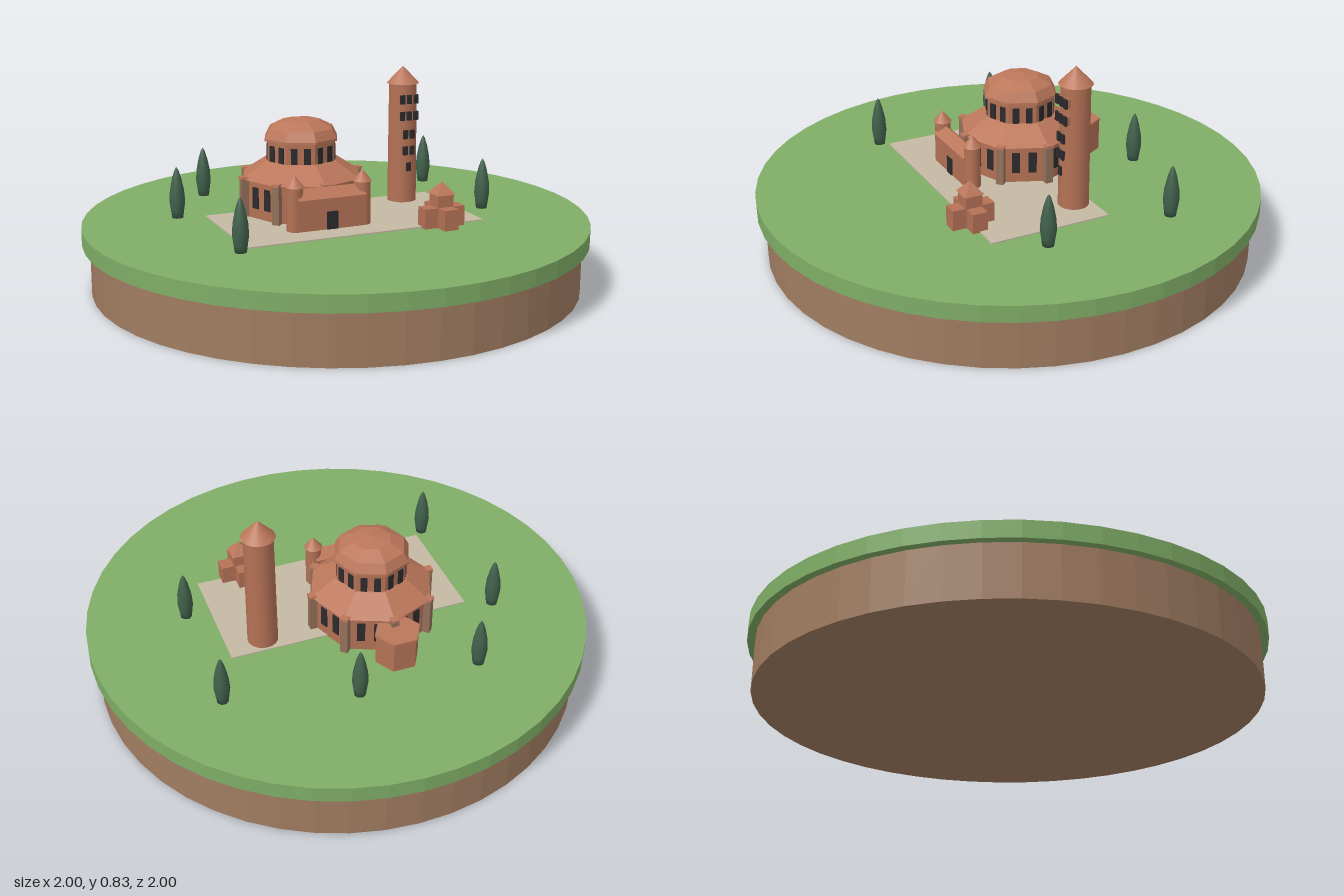
import * as THREE from 'three';

const mat = (name, color) => {
  const m = new THREE.MeshStandardMaterial({ color });
  m.name = name;
  return m;
};

// Facetted copy of a geometry
const flat = (g) => {
  const f = g.index ? g.toNonIndexed() : g;
  f.computeVertexNormals();
  return f;
};

export function createModel() {
  const grass = mat('grass green', 0x7fad66);
  const earth = mat('earth brown', 0xa07c61);
  const paving = mat('pale paving', 0xc4b8a3);
  const brick = mat('terracotta brick', 0xb47155);
  const tile = mat('roof terracotta', 0xbb775a);
  const stone = mat('buttress brown', 0x93705a);
  const dark = mat('window dark', 0x2b2a2d);
  const leaf = mat('cypress green', 0x41604b);

  const model = new THREE.Group();
  model.name = 'basilicaIsland';
  const G = 0.265; // ground level

  const add = (parent, name, geo, material, x = 0, y = 0, z = 0) => {
    const m = new THREE.Mesh(geo, material);
    m.name = name;
    m.position.set(x, y, z);
    parent.add(m);
    return m;
  };
  const group = (parent, name, x = 0, z = 0, turn = 0) => {
    const g = new THREE.Group();
    g.name = name;
    g.position.set(x, 0, z);
    g.rotation.y = turn;
    parent.add(g);
    return g;
  };
  // Prism or frustum standing from y0 to y1
  const drum = (parent, name, rTop, rBottom, y0, y1, sides, material, smooth = false) => {
    const g = new THREE.CylinderGeometry(rTop, rBottom, y1 - y0, sides);
    return add(parent, name, smooth ? g : flat(g), material, 0, (y0 + y1) / 2, 0);
  };
  const block = (parent, name, w, d, y0, y1, material, x = 0, z = 0) =>
    add(parent, name, new THREE.BoxGeometry(w, y1 - y0, d), material, x, (y0 + y1) / 2, z);

  // Island
  drum(model, 'earthBase', 0.97, 0.97, 0, 0.2, 48, earth);
  drum(model, 'grassDisc', 1, 1, 0.2, G, 48, grass);

  // Everything built sits on axes turned 20 degrees
  const site = group(model, 'site', -0.063, -0.136, -THREE.MathUtils.degToRad(20));
  block(site, 'plaza', 0.98, 0.49, G, 0.27, paving, 0.107, 0.177);

  // Octagonal church
  const church = group(site, 'church');
  drum(church, 'lowerStorey', 0.235, 0.235, G, 0.42, 8, brick);
  drum(church, 'lowerRoof', 0.15, 0.25, 0.42, 0.485, 8, tile);
  drum(church, 'upperDrum', 0.143, 0.143, 0.48, 0.575, 8, brick);
  drum(church, 'drumCornice', 0.155, 0.155, 0.565, 0.575, 8, tile);
  const dome = new THREE.SphereGeometry(0.155, 8, 3, 0, Math.PI * 2, 0, Math.PI / 2);
  dome.scale(1, 0.5, 1);
  dome.rotateY(Math.PI / 2);
  add(church, 'domeRoof', flat(dome), tile, 0, 0.573, 0);

  const apothem = Math.cos(Math.PI / 8);
  for (let i = 0; i < 8; i++) {
    // Corner buttress
    const corner = group(church, 'cornerButtress', 0, 0, (i * Math.PI) / 4);
    block(corner, 'buttress', 0.03, 0.045, G, 0.42, stone, 0, 0.235);
    block(corner, 'buttressCap', 0.032, 0.05, 0.42, 0.43, tile, 0, 0.235);
    // Paired windows on each wall
    const wall = group(church, 'wallWindows', 0, 0, ((i + 0.5) * Math.PI) / 4);
    for (const s of [-1, 1]) {
      block(wall, 'lowerWindow', 0.032, 0.008, 0.31, 0.395, dark, s * 0.033, 0.235 * apothem);
      block(wall, 'drumWindow', 0.026, 0.008, 0.485, 0.548, dark, s * 0.026, 0.143 * apothem);
    }
  }

  // Hexagonal apse at the back
  const apse = group(site, 'apse', 0, -0.275, Math.PI / 6);
  drum(apse, 'apseWall', 0.088, 0.088, G, 0.39, 6, brick);
  drum(apse, 'apseRoof', 0.092, 0.092, 0.39, 0.4, 6, tile);

  // Entrance hall with a ridge roof and two round turrets
  const hall = group(site, 'entranceHall', 0, 0.28);
  block(hall, 'hallWall', 0.28, 0.066, G, 0.395, brick);
  const gable = new THREE.Shape([
    new THREE.Vector2(-0.04, 0), new THREE.Vector2(0.04, 0), new THREE.Vector2(0, 0.037),
  ]);
  const ridge = new THREE.ExtrudeGeometry(gable, { depth: 0.28, bevelEnabled: false });
  ridge.translate(0, 0, -0.14);
  ridge.rotateY(Math.PI / 2);
  add(hall, 'hallRoof', ridge, tile, 0, 0.393, 0);
  block(hall, 'door', 0.046, 0.008, G, 0.34, dark, 0, 0.033);
  for (const s of [-1, 1]) {
    const turret = group(hall, 'turret', s * 0.14, 0);
    drum(turret, 'turretWall', 0.032, 0.032, G, 0.44, 16, brick, true);
    drum(turret, 'turretRoof', 0, 0.037, 0.44, 0.485, 16, tile, true);
  }

  // Round bell tower, with more windows towards the top
  const tower = group(site, 'bellTower', 0.45, 0.002);
  drum(tower, 'towerWall', 0.057, 0.06, G, 0.765, 20, brick, true);
  drum(tower, 'towerRoof', 0, 0.066, 0.76, 0.83, 20, tile, true);
  [[0.7, 3], [0.632, 3], [0.555, 2], [0.488, 2], [0.42, 1]].forEach(([y, n]) => {
    for (let i = 0; i < n; i++) {
      const x = (i - (n - 1) / 2) * 0.03;
      block(tower, 'towerWindow', 0.02, 0.009, y - 0.018, y + 0.018, dark, x, 0.06);
    }
    // Brick backing joins the outer windows to the shaft
    block(tower, 'windowBacking', n * 0.03 - 0.012, 0.03, y - 0.017, y + 0.017, brick, 0, 0.042);
  });

  // Small cross-shaped chapel
  const chapel = group(site, 'crossChapel', 0.413, 0.419);
  block(chapel, 'longArm', 0.17, 0.06, G, 0.343, brick);
  block(chapel, 'crossArm', 0.06, 0.17, G, 0.345, brick);
  block(chapel, 'crossingTower', 0.068, 0.068, G, 0.392, brick);
  drum(chapel, 'crossingRoof', 0, 0.056, 0.392, 0.44, 4, tile).rotation.y = Math.PI / 4;

  // Cypress trees
  const profile = [
    [0, 0], [0.022, 0], [0.026, 0.03], [0.031, 0.065], [0.028, 0.11], [0.018, 0.16], [0.008, 0.192], [0, 0.205],
  ].map(([r, y]) => new THREE.Vector2(r, y));
  const cypress = new THREE.LatheGeometry(profile, 14);
  [[-0.61, 0.145], [-0.485, -0.4], [-0.185, -0.62], [0.275, -0.46], [0.685, -0.16], [0.505, 0.33]]
    .forEach(([x, z]) => add(model, 'cypressTree', cypress, leaf, x, G, z));

  return model;
}
